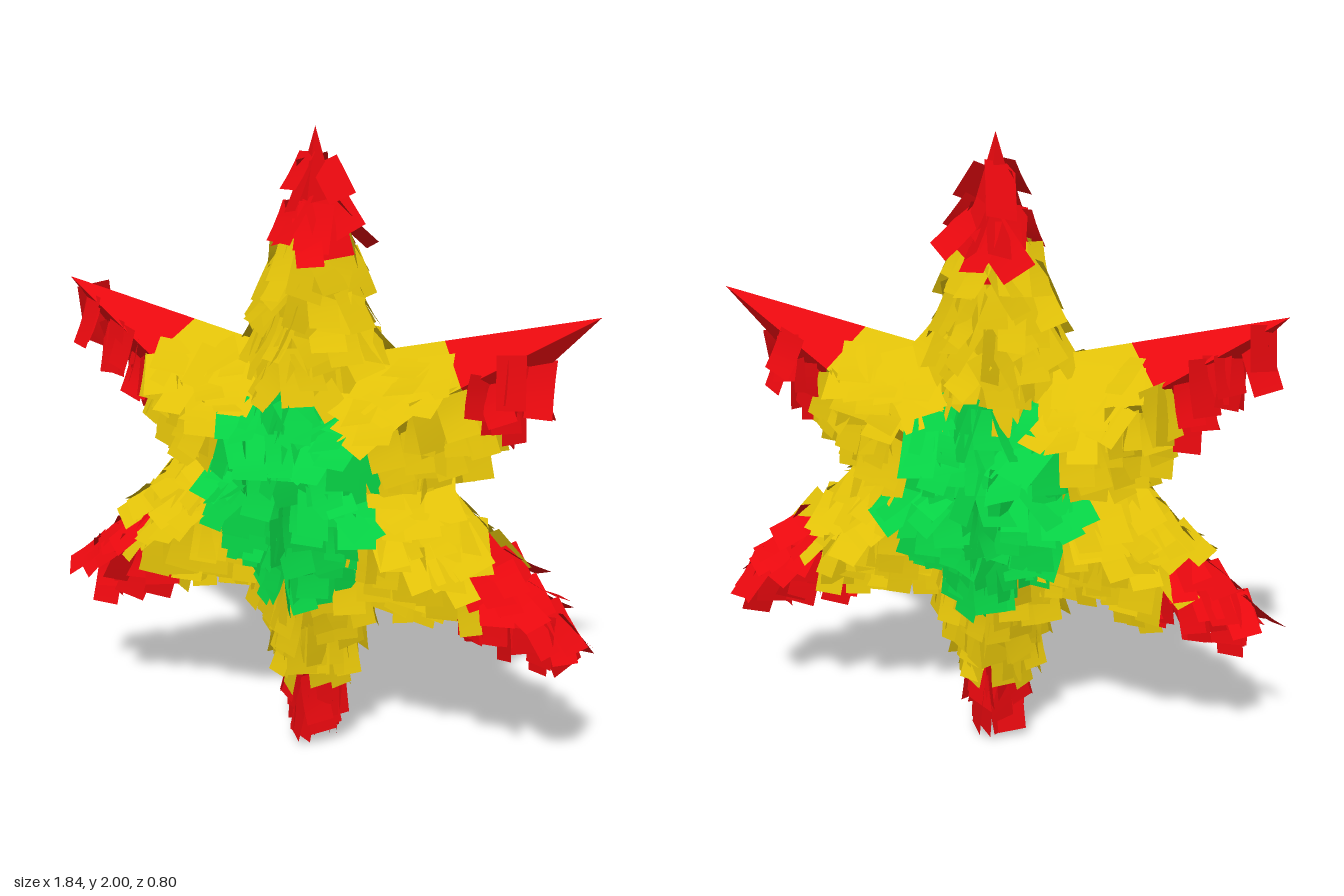
import * as THREE from 'three';
import { mergeGeometries } from 'three/addons/utils/BufferGeometryUtils.js';

const COLORS = { red: 0xe8080e, yellow: 0xe0c008, green: 0x06d044 };
const CENTER = new THREE.Vector3(0.02, 1, 0.01);
const OUTER = 1, INNER = 0.4, DEPTH = 0.29;
const FLAPS_PER_FACE = 40;
// how far out the strips go on each arm, counter-clockwise from the top
const FLAP_LIMITS = [0.9, 0.92, 0.97, 0.95, 0.97, 0.8];

function seeded(seed) {
  return () => {
    seed = (seed * 1664525 + 1013904223) % 4294967296;
    return seed / 4294967296;
  };
}

const polar = (r, a) => new THREE.Vector3(r * Math.cos(a), r * Math.sin(a), 0);
const mix = (a, b, t) => a.clone().lerp(b, t);

// The 24 facets of a raised six-pointed star, each as peak, tip, notch
function starFacets() {
  const facets = [];
  FLAP_LIMITS.forEach((limit, k) => {
    const angle = Math.PI / 2 + k * Math.PI / 3;
    for (const side of [1, -1]) for (const front of [1, -1]) {
      const peak = new THREE.Vector3(0, 0, DEPTH * front);
      const tip = polar(OUTER, angle);
      const notch = polar(INNER, angle + side * Math.PI / 6);
      const flip = side * front < 0;
      const normal = tip.clone().sub(peak).cross(notch.clone().sub(peak)).normalize();
      if (flip) normal.negate();
      facets.push({ peak, tip, notch, flip, normal, limit, axis: polar(1, angle) });
    }
  });
  return facets;
}

// Card body: green core, yellow arms, red tips
function bodyGeometries(facets) {
  const points = { red: [], yellow: [], green: [] };
  for (const { peak, tip, notch, flip } of facets) {
    const add = (color, a, b, c) => points[color].push(...(flip ? [a, c, b] : [a, b, c]));
    const p = mix(peak, tip, 0.24), q = mix(peak, notch, 0.55);
    const a = mix(tip, peak, 0.42), b = mix(tip, notch, 0.68);
    add('green', peak, p, q);
    add('yellow', p, a, b);
    add('yellow', p, b, notch);
    add('yellow', p, notch, q);
    add('red', a, tip, b);
  }
  const result = {};
  for (const color in points) {
    result[color] = new THREE.BufferGeometry().setFromPoints(points[color]);
    result[color].computeVertexNormals();
  }
  return result;
}

// One curled paper strip hanging from a point
function flapGeometry(anchor, normal, down, width, length, curl) {
  const across = normal.clone().cross(down).normalize();
  const out = down.clone().cross(across).normalize();
  const geo = new THREE.PlaneGeometry(width, 1, 1, 3);
  const pos = geo.attributes.position, v = new THREE.Vector3();
  for (let i = 0; i < pos.count; i++) {
    const t = 0.5 - pos.getY(i);
    v.copy(anchor)
      .addScaledVector(across, pos.getX(i))
      .addScaledVector(down, t * length)
      .addScaledVector(out, curl * t * t);
    pos.setXYZ(i, v.x, v.y, v.z);
  }
  geo.computeVertexNormals();
  return geo;
}

// Paper strips scattered over every facet, hanging downwards
function flapGeometries(facets) {
  const rand = seeded(17);
  const range = (a, b) => a + (b - a) * rand();
  const lists = { red: [], yellow: [], green: [] };
  for (const { peak, tip, notch, normal, limit, axis } of facets) {
    const isBottom = axis.y < -0.9;
    for (let i = 0; i < FLAPS_PER_FACE; i++) {
      // even spread over the triangle
      const u = Math.sqrt((i + rand()) / FLAPS_PER_FACE);
      const w = (i * 0.618034 + 0.1 * rand()) % 1;
      const anchor = mix(peak, mix(tip, notch, w), u);
      const reach = anchor.dot(axis);
      if (reach > limit) continue;
      // the upper slopes of the raised side arms stay bare along the ridge
      const roof = normal.y > 0.5 && axis.y > 0;
      if (roof && (reach > 0.55 || u > 0.85)) continue;
      const isRed = reach > 0.6 + 0.08 * axis.y * axis.y;
      const isGreen = Math.hypot(anchor.x, (anchor.y + 0.04) * 0.82) < 0.26;
      const color = isRed ? 'red' : isGreen ? 'green' : 'yellow';

      // hang down the slope, swept outwards on the lower side arms
      const down = new THREE.Vector3(0, -1, 0);
      if (axis.y < 0) down.addScaledVector(axis, 0.4 * reach);
      const into = down.dot(normal);
      if (into < 0) down.addScaledVector(normal, -into);
      const swing = isBottom ? 0.15 : 0.4;
      down.normalize().applyAxisAngle(normal, range(-swing, swing));
      down.addScaledVector(normal, isBottom ? range(0, 0.2) : range(0.05, 0.4)).normalize();

      const length = range(0.12, 0.18);
      const facing = normal.clone().applyAxisAngle(down, range(-0.35, 0.35));
      anchor.addScaledVector(down, -0.03).addScaledVector(normal, 0.008);
      // lift the lowest strips clear of the ground, keeping them on the facet
      const rise = range(0.01, 0.06) - (anchor.y + down.y * length + CENTER.y);
      if (rise > 0) {
        anchor.y += rise;
        anchor.addScaledVector(normal, -rise * normal.y + 0.01);
      }
      lists[color].push(flapGeometry(anchor, facing, down, range(0.08, 0.115), length, range(-0.01, 0.03)));
    }
  }
  const result = {};
  for (const color in lists) result[color] = mergeGeometries(lists[color]);
  return result;
}

export function createModel() {
  const model = new THREE.Group();
  model.name = 'paperStar';
  const facets = starFacets();
  const parts = [
    [bodyGeometries(facets), { red: 'starTips', yellow: 'starArms', green: 'starCore' }, true],
    [flapGeometries(facets), { red: 'tipFlaps', yellow: 'armFlaps', green: 'coreFlaps' }, false],
  ];
  for (const [geometries, names, flatShading] of parts) {
    for (const color in geometries) {
      const material = new THREE.MeshStandardMaterial({
        color: COLORS[color], flatShading, side: THREE.DoubleSide,
      });
      const mesh = new THREE.Mesh(geometries[color], material);
      mesh.name = names[color];
      mesh.position.copy(CENTER);
      model.add(mesh);
    }
  }
  return model;
}
